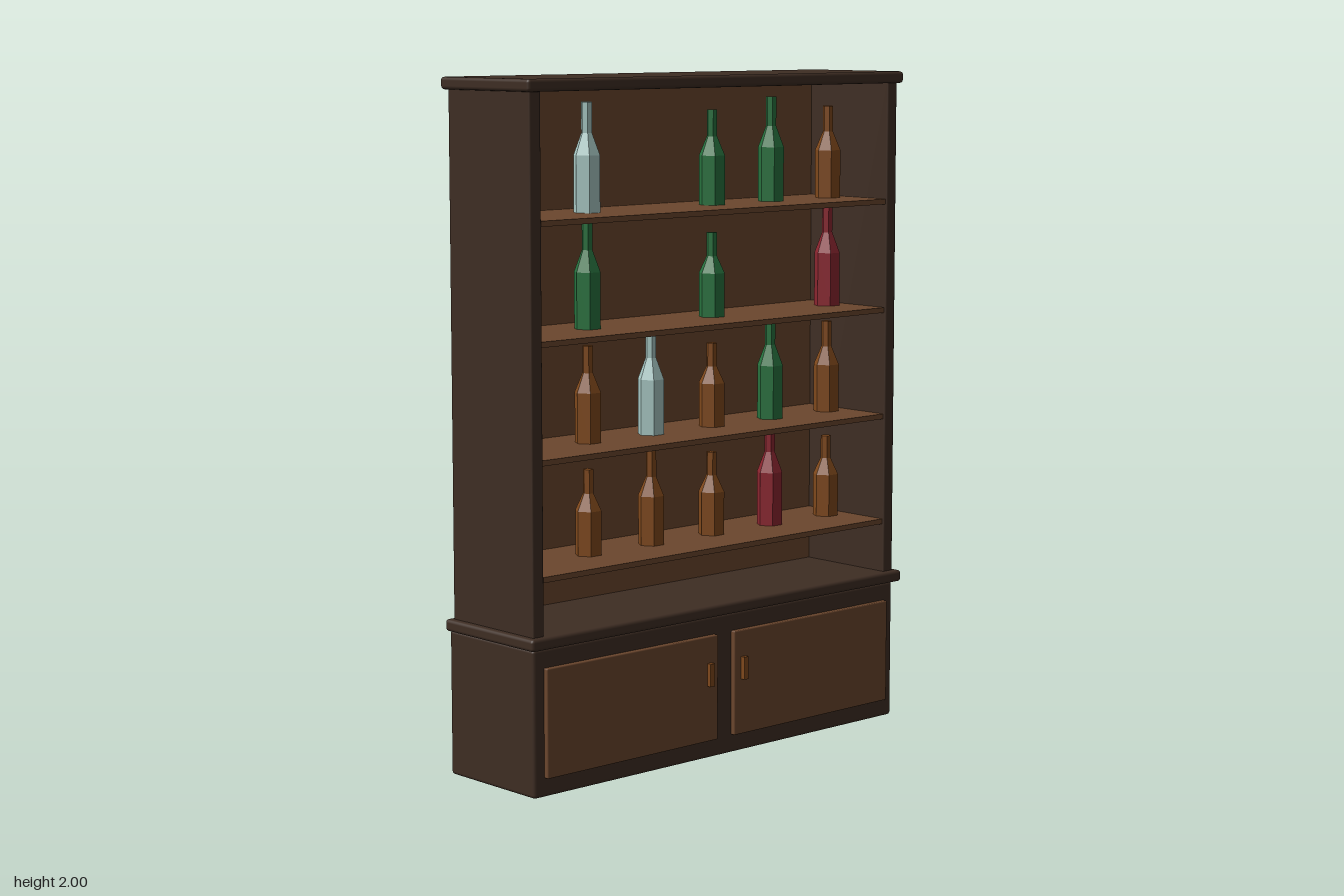
import * as THREE from 'three';
import { RoundedBoxGeometry } from 'three/addons/geometries/RoundedBoxGeometry.js';

const mat = (name, color, flatShading = false) => {
  const m = new THREE.MeshStandardMaterial({ color, flatShading });
  m.name = name;
  return m;
};

export function createModel() {
  const model = new THREE.Group();
  model.name = 'bottleCabinet';

  const darkWood = mat('darkWood', 0x3e2d23);
  const brownWood = mat('brownWood', 0x6b462d);
  const glass = {
    a: mat('amber', 0x80491c, true),
    g: mat('greenGlass', 0x28733f, true),
    c: mat('clearGlass', 0xa8c8c4, true),
    r: mat('redGlass', 0x8c2630, true),
  };

  // Box given by its limits on each axis, optionally with softened edges
  const box = (name, material, [x0, x1], [y0, y1], [z0, z1], bevel = 0, parent = model) => {
    const size = [x1 - x0, y1 - y0, z1 - z0];
    const geo = bevel ? new RoundedBoxGeometry(...size, 2, bevel) : new THREE.BoxGeometry(...size);
    const mesh = new THREE.Mesh(geo, material);
    mesh.name = name;
    mesh.position.set((x0 + x1) / 2, (y0 + y1) / 2, (z0 + z1) / 2);
    parent.add(mesh);
    return mesh;
  };

  // Lower cupboard, ledge and top
  box('base', darkWood, [-0.725, 0.725], [0, 0.425], [-0.2, 0.175], 0.01);
  box('ledge', darkWood, [-0.745, 0.745], [0.425, 0.46], [-0.196, 0.196], 0.01);
  box('top', darkWood, [-0.74, 0.74], [1.965, 2], [-0.197, 0.19], 0.01);

  // Upper sides, doors and handles, mirrored
  for (const s of [-1, 1]) {
    const side = s < 0 ? 'right' : 'left';
    const span = (a, b) => (s < 0 ? [-b, -a] : [a, b]);
    box(side + 'Side', darkWood, span(0.685, 0.725), [0.45, 1.975], [-0.18, 0.175], 0.005);
    box(side + 'Door', brownWood, span(0.033, 0.688), [0.055, 0.37], [0.17, 0.19], 0.004);
    box(side + 'Handle', glass.a, span(0.06, 0.077), [0.222, 0.29], [0.185, 0.204]);
  }

  // Back panel and shelves
  box('backPanel', brownWood, [-0.686, 0.686], [0.45, 1.975], [-0.17, -0.15]);
  const shelfTops = [0.625, 0.953, 1.282, 1.614];
  for (const y of shelfTops) {
    box('shelf', brownWood, [-0.686, 0.686], [y - 0.016, y], [-0.155, 0.168]);
  }

  // Six-sided bottle: body, shoulder, neck
  const makeBottle = (height) => {
    const profile = [[0, 0], [0.04, 0], [0.04, 0.52], [0.016, 0.72], [0.016, 1], [0, 1]]
      .map(([r, t]) => new THREE.Vector2(r, t * height));
    return new THREE.LatheGeometry(profile, 6, Math.PI / 6);
  };
  const sizes = [0.25, 0.28, 0.313].map(makeBottle);

  // One entry per place on each shelf: colour letter and size, '--' for a gap
  const rows = [
    'r2 a0 a1 a0 r2 a0',
    '-- a1 c2 a0 g2 a1',
    'a0 g2 -- g0 -- r2',
    'g0 c2 -- g1 g2 a1',
  ];
  const bottles = new THREE.Group();
  bottles.name = 'bottles';
  rows.forEach((row, i) => row.split(' ').forEach((code, j) => {
    if (code === '--') return;
    const bottle = new THREE.Mesh(sizes[+code[1]], glass[code[0]]);
    bottle.name = 'bottle';
    bottle.position.set((j - 2.5) * 0.244, shelfTops[i], -0.005);
    bottles.add(bottle);
  }));
  model.add(bottles);

  return model;
}
